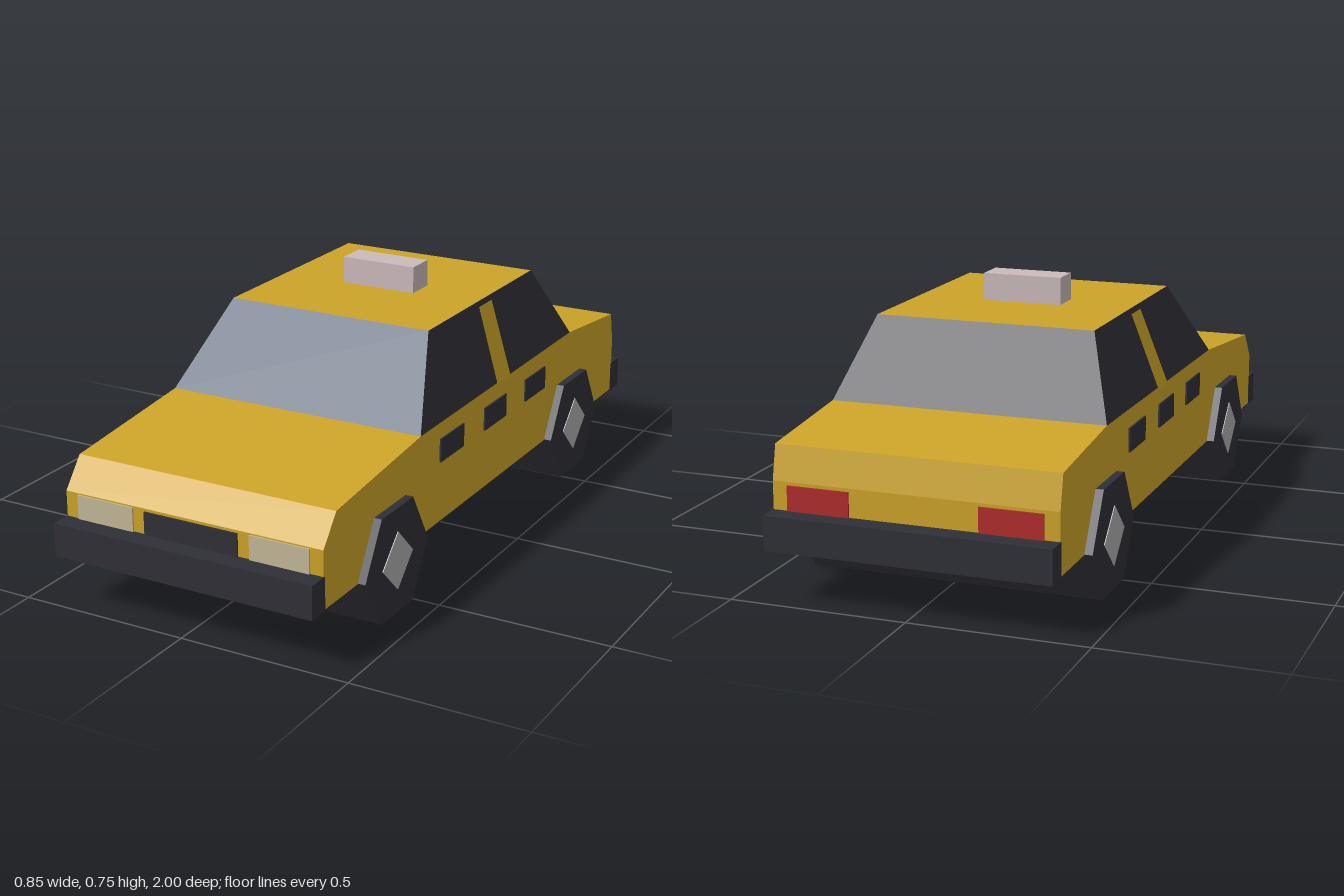
import * as THREE from 'three';

const mat = (name, color) => {
  const m = new THREE.MeshStandardMaterial({ color });
  m.name = name;
  return m;
};

export function createModel() {
  const car = new THREE.Group();
  car.name = 'taxi';
  const yellow = mat('yellow paint', 0xcca428);
  const dark = mat('dark trim', 0x2f2f37);
  const blue = mat('windscreen blue', 0x42576c);
  const cream = mat('headlight cream', 0xc2b796);
  const red = mat('tail light red', 0xb02c2c);
  const grey = mat('hub grey', 0xaeaeb0);
  const pink = mat('roof sign pink', 0xcbbaba);

  const add = (name, geometry, material) => {
    const mesh = new THREE.Mesh(geometry, material);
    mesh.name = name;
    car.add(mesh);
    return mesh;
  };
  // Box given by its limits on each axis
  const box = (name, material, [x0, x1], [y0, y1], [z0, z1]) => {
    const g = new THREE.BoxGeometry(x1 - x0, y1 - y0, z1 - z0);
    g.translate((x0 + x1) / 2, (y0 + y1) / 2, (z0 + z1) / 2);
    return add(name, g, material);
  };
  // Flat four-cornered face, corners counter-clockwise from outside
  const quad = (name, material, a, b, c, d) => {
    const g = new THREE.BufferGeometry();
    g.setAttribute('position', new THREE.Float32BufferAttribute([a, b, c, a, c, d].flat(), 3));
    g.computeVertexNormals();
    return add(name, g, material);
  };
  // Flat-sided prism lying along x
  const prism = (name, material, sides, radius, width, x, y, z) => {
    const g = new THREE.CylinderGeometry(radius, radius, width, sides).toNonIndexed();
    g.computeVertexNormals();
    g.rotateZ(Math.PI / 2);
    g.translate(x, y, z);
    return add(name, g, material);
  };

  // Lower body: side profile (z, y) extruded across the car
  const W = 0.397;
  const profile = [[0.94, 0.15], [0.94, 0.315], [0.875, 0.397], [0.42, 0.442],
    [-0.58, 0.45], [-0.92, 0.415], [-0.94, 0.32], [-0.94, 0.15]];
  const body = new THREE.ExtrudeGeometry(
    new THREE.Shape(profile.map(([z, y]) => new THREE.Vector2(z, y))),
    { depth: 2 * W, bevelEnabled: false });
  body.rotateY(-Math.PI / 2);
  body.translate(W, 0, 0);
  add('body', body, yellow);
  box('underside', dark, [-W, W], [0.146, 0.15], [-0.94, 0.94]);

  // Cabin: tapered, one face per colour
  const T = 0.317, top = 0.672, zf = 0.42, zb = -0.58, tf = 0.225, tb = -0.45, yf = 0.442, yb = 0.45;
  quad('windscreen', blue, [-W, yf, zf], [W, yf, zf], [T, top, tf], [-T, top, tf]);
  quad('rearWindow', dark, [W, yb, zb], [-W, yb, zb], [-T, top, tb], [T, top, tb]);
  quad('roof', yellow, [-T, top, tf], [T, top, tf], [T, top, tb], [-T, top, tb]);
  const sideX = (y) => W - (W - T) * (y - 0.446) / (top - 0.446) + 0.006;

  for (const s of [1, -1]) {
    const side = s > 0 ? 'left' : 'right';
    const face = (name, material, pts) => {
      const p = pts.map(([x, y, z]) => [s * x, y, z]);
      return quad(name, material, ...(s > 0 ? p : p.reverse()));
    };
    face(side + 'Windows', dark, [[W, yf, zf], [W, yb, zb], [T, top, tb], [T, top, tf]]);
    face(side + 'Pillar', yellow, [[sideX(0.446), 0.446, -0.047], [sideX(0.446), 0.446, -0.135],
      [sideX(0.66), 0.66, -0.155], [sideX(0.66), 0.66, -0.072]]);

    // Door handles
    for (const z of [0.235, -0.043, -0.32]) {
      box(side + 'DoorHandle', dark, s > 0 ? [W, W + 0.005] : [-W - 0.005, -W],
        [0.328, 0.396], [z - 0.071, z + 0.071]);
    }
    // Lamps
    const span = (a, b) => (s > 0 ? [a, b] : [-b, -a]);
    box(side + 'Headlight', cream, span(0.18, 0.358), [0.242, 0.311], [0.94, 0.945]);
    box(side + 'TailLight', red, span(0.18, 0.355), [0.242, 0.311], [-0.945, -0.94]);
  }

  // Grille, bumpers and roof sign
  box('grille', dark, [-0.144, 0.144], [0.242, 0.307], [0.94, 0.945]);
  box('frontBumper', dark, [-0.398, 0.398], [0.146, 0.242], [0.935, 1]);
  box('rearBumper', dark, [-0.398, 0.398], [0.146, 0.242], [-1, -0.935]);
  box('roofSign', pink, [-0.116, 0.116], [0.67, 0.75], [-0.157, -0.067]);

  // Hexagonal wheel pairs reach right across, with diamond hubs
  for (const [name, z] of [['front', 0.592], ['rear', -0.583]]) {
    prism(name + 'Wheels', dark, 6, 0.175, 0.84, 0, 0.152, z);
    for (const s of [1, -1]) prism(name + 'Hub', grey, 4, 0.084, 0.005, s * 0.42, 0.152, z);
  }
  return car;
}
